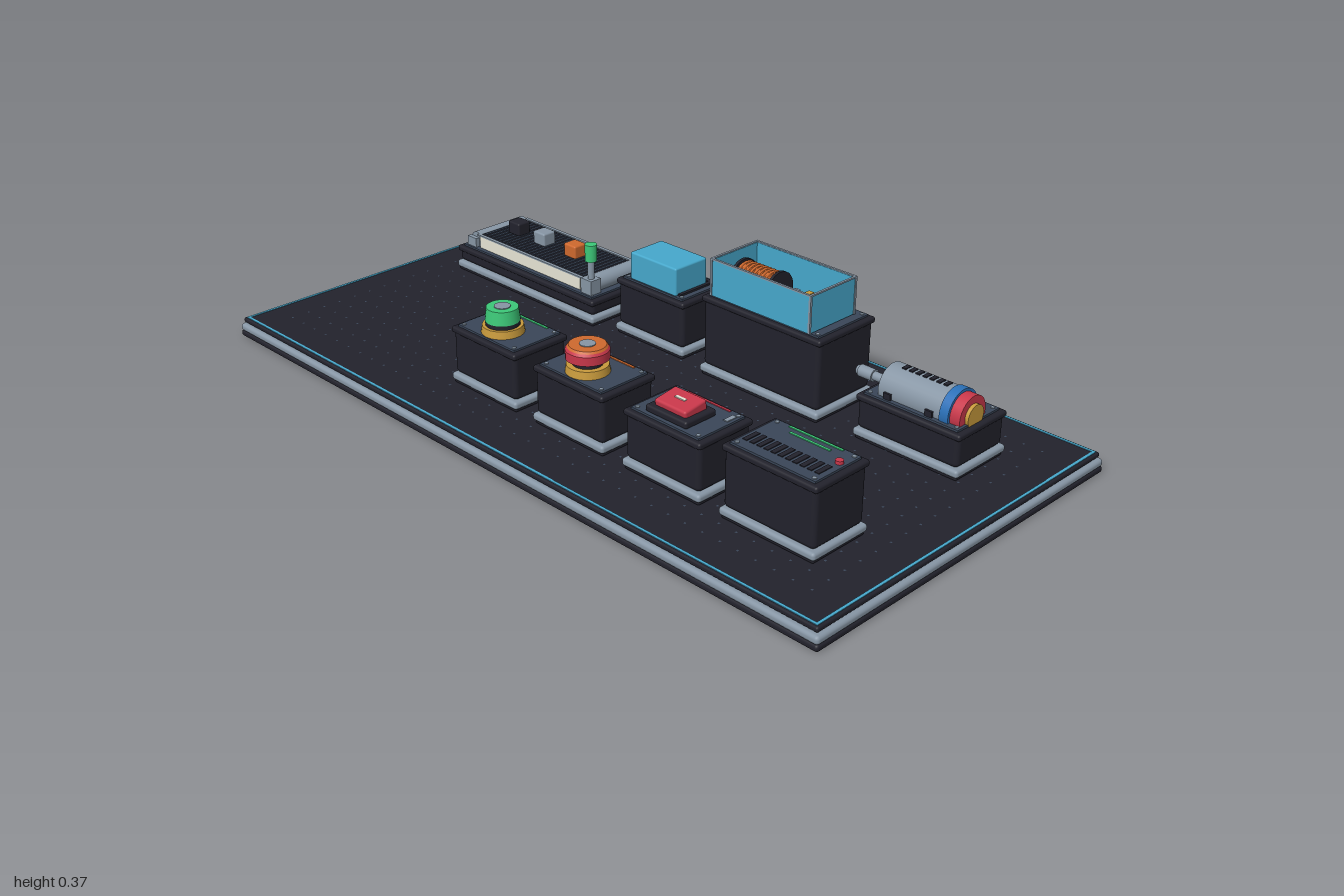
import * as THREE from 'three';
import { mergeGeometries } from 'three/addons/utils/BufferGeometryUtils.js';
import { RoundedBoxGeometry } from 'three/addons/geometries/RoundedBoxGeometry.js';

const mat = (name, color) => new THREE.MeshStandardMaterial({ name, color });
const charcoal = mat('charcoal', 0x22222c), slate = mat('slate', 0x3a4658), steel = mat('steel', 0x8796a5);
const cyan = mat('cyan', 0x46a8cc), blue = mat('blue', 0x2a70b8), red = mat('red', 0xc8374a);
const green = mat('green', 0x3cc878), orange = mat('orange', 0xcf692e), yellow = mat('yellow', 0xc89a3c);
const cream = mat('cream', 0xeeecdc);

const add = (parent, name, geo, material, x = 0, y = 0, z = 0) => {
  const m = new THREE.Mesh(geo, material);
  m.name = name;
  m.position.set(x, y, z);
  parent.add(m);
  return m;
};
// Boxes are placed by the height of their underside
const box = (p, name, material, x, y, z, w, h, d) =>
  add(p, name, new THREE.BoxGeometry(w, h, d), material, x, y + h / 2, z);
const soft = (p, name, material, x, y, z, w, h, d, r) =>
  add(p, name, new RoundedBoxGeometry(w, h, d, 2, r), material, x, y + h / 2, z);
const disc = (p, name, material, x, y, z, r, h, rTop = r) =>
  add(p, name, new THREE.CylinderGeometry(rTop, r, h, 28), material, x, y + h / 2, z);
const rod = (p, name, material, x, y, z, r, length, axis = 'x') => {
  const g = new THREE.CylinderGeometry(r, r, length, 28);
  axis === 'x' ? g.rotateZ(-Math.PI / 2) : g.rotateX(Math.PI / 2);
  return add(p, name, g, material, x, y, z);
};
// Four thin bars around a rectangle
const frame = (p, name, material, y, w, h, d, t) => {
  for (const s of [-1, 1]) {
    box(p, name, material, 0, y, s * (d - t) / 2, w, h, t);
    box(p, name, material, s * (w - t) / 2, y, 0, t, h, d - 2 * t);
  }
};

const FLOOR = 0.052;

// Housing shared by all devices: foot, body, top plate, screws and rear terminals
function housing(root, name, x, z, w, d, top, accent) {
  const g = new THREE.Group();
  g.name = name;
  g.position.set(x, 0, z);
  root.add(g);
  soft(g, 'gasket', charcoal, 0, FLOOR, 0, w - 0.01, 0.012, d - 0.01, 0.005);
  soft(g, 'foot', steel, 0, 0.06, 0, w, 0.02, d, 0.008);
  soft(g, 'body', charcoal, 0, 0.08, 0, w - 0.014, top - 0.084, d - 0.014, 0.012);
  soft(g, 'lip', charcoal, 0, top - 0.02, 0, w - 0.006, 0.016, d - 0.006, 0.006);
  box(g, 'topPlate', slate, 0, top - 0.005, 0, w - 0.035, 0.006, d - 0.03);
  for (const sx of [-1, 1]) for (const sz of [-1, 1])
    disc(g, 'screw', steel, sx * (w / 2 - 0.028), top, sz * (d / 2 - 0.025), 0.005, 0.003);
  if (accent) box(g, 'accentBar', accent, 0, top, -d / 2 + 0.022, w * 0.55, 0.003, 0.006);
  const back = -d / 2 + 0.007;
  box(g, 'rearPlate', charcoal, 0, top - 0.05, back, w * 0.7, 0.026, 0.012);
  const lamps = [cyan, green, steel];
  for (let i = 0; i < 7; i++)
    box(g, 'rearIndicator', lamps[i % 3], (i - 3) * w * 0.085, top - 0.041, back - 0.006, w * 0.05, 0.006, 0.003);
  const colours = [red, blue, green, orange];
  for (let i = 0; i < 4; i++)
    rod(g, 'terminal', colours[i], (i - 1.5) * w * 0.22, 0.1, back - 0.003, 0.01, 0.018, 'z');
  return g;
}

// Stepped board with a trim line and a grid of pegboard holes
function board(root) {
  const g = new THREE.Group();
  g.name = 'baseBoard';
  root.add(g);
  soft(g, 'underside', charcoal, 0, 0, 0, 2, 0.017, 1, 0.007);
  soft(g, 'steelEdge', steel, 0, 0.015, 0, 2, 0.021, 1, 0.009);
  box(g, 'shadowGap', charcoal, 0, 0.034, 0, 1.97, 0.008, 0.97);
  soft(g, 'deck', charcoal, 0, 0.039, 0, 1.985, 0.013, 0.985, 0.005);
  frame(g, 'trim', cyan, 0.0495, 1.972, 0.004, 0.972, 0.007);
  const holes = [];
  for (let x = -0.9; x < 0.91; x += 0.05) for (let z = -0.4; z < 0.41; z += 0.05)
    holes.push(new THREE.PlaneGeometry(0.005, 0.005).rotateX(-Math.PI / 2).translate(x, 0.0525, z));
  add(g, 'gridHoles', mergeGeometries(holes), slate);
}

function conveyor(root) {
  const g = housing(root, 'conveyor', -0.577, -0.24, 0.56, 0.235, 0.128, null);
  box(g, 'bed', charcoal, 0, 0.128, 0, 0.42, 0.032, 0.165);
  for (const s of [-1, 1]) {
    box(g, 'sideRail', cream, 0, 0.13, s * 0.087, 0.41, 0.034, 0.008);
    box(g, 'railCap', steel, 0, 0.163, s * 0.087, 0.43, 0.004, 0.01);
    rod(g, 'roller', steel, s * 0.225, 0.146, 0, 0.024, 0.17, 'z');
    for (const t of [-1, 1]) box(g, 'rollerBracket', steel, s * 0.234, 0.125, t * 0.09, 0.036, 0.03, 0.014);
  }
  box(g, 'belt', charcoal, 0, 0.16, 0, 0.43, 0.005, 0.16);
  for (let i = 0; i < 27; i++) box(g, 'beltSlat', slate, (i - 13) * 0.0155, 0.164, 0, 0.007, 0.003, 0.155);
  [[-0.143, charcoal], [-0.038, steel], [0.087, orange]].forEach(([x, m]) =>
    soft(g, 'cargo', m, x, 0.166, 0, 0.046, 0.037, 0.042, 0.005));
  // Signal post at the front corner
  box(g, 'postFoot', steel, 0.235, 0.13, 0.08, 0.04, 0.04, 0.035);
  disc(g, 'post', steel, 0.237, 0.17, 0.08, 0.009, 0.05);
  disc(g, 'signalLamp', green, 0.237, 0.22, 0.08, 0.016, 0.046);
}

function sensor(root) {
  const g = housing(root, 'sensor', -0.118, -0.237, 0.245, 0.175, 0.21, cyan);
  frame(g, 'sensorSeat', charcoal, 0.21, 0.18, 0.006, 0.125, 0.012);
  soft(g, 'sensorCover', cyan, 0, 0.21, 0.015, 0.162, 0.075, 0.112, 0.005);
}

function relay(root) {
  const g = housing(root, 'relay', 0.27, -0.235, 0.38, 0.21, 0.268, cyan);
  // Open-topped clear cover
  const cover = new THREE.Group();
  cover.name = 'cover';
  cover.position.set(0, 0, 0.022);
  g.add(cover);
  frame(cover, 'coverWall', cyan, 0.274, 0.31, 0.094, 0.162, 0.005);
  frame(cover, 'coverRim', steel, 0.367, 0.314, 0.004, 0.166, 0.006);
  for (const sx of [-1, 1]) for (const sz of [-1, 1])
    box(cover, 'cornerPost', steel, sx * 0.154, 0.274, sz * 0.08, 0.006, 0.094, 0.006);
  // Wound coil between two flanges
  rod(g, 'coil', orange, -0.065, 0.31, 0.025, 0.04, 0.105);
  for (let i = 0; i < 9; i++)
    add(g, 'winding', new THREE.TorusGeometry(0.04, 0.004, 6, 24).rotateY(Math.PI / 2), orange, -0.113 + i * 0.012, 0.31, 0.025);
  for (const x of [-0.122, -0.008]) rod(g, 'coilFlange', charcoal, x, 0.31, 0.025, 0.047, 0.008);
  // Contact arms
  for (const s of [-1, 1]) {
    box(g, 'contactArm', yellow, 0.08, 0.31 + s * 0.008, 0.018 + s * 0.012, 0.1, 0.005, 0.008);
    box(g, 'contactPost', steel, 0.055 + s * 0.025, 0.272, 0.018 + s * 0.012, 0.014, 0.045, 0.014);
    box(g, 'contactPad', yellow, 0.09 + s * 0.02, 0.272, 0.018 + s * 0.012, 0.016, 0.05, 0.018);
  }
}

function motor(root) {
  const g = housing(root, 'motor', 0.702, -0.235, 0.295, 0.185, 0.17, blue);
  const y = 0.183, z = 0.015;
  rod(g, 'shaft', steel, -0.148, y, z, 0.011, 0.1);
  rod(g, 'shaftTip', steel, -0.17, y, z, 0.015, 0.04);
  rod(g, 'frontBoss', yellow, -0.106, y, z, 0.024, 0.02);
  rod(g, 'motorCan', steel, -0.012, y, z, 0.052, 0.175);
  rod(g, 'blueBand', blue, 0.084, y, z, 0.055, 0.024);
  rod(g, 'redBand', red, 0.108, y, z, 0.048, 0.03);
  rod(g, 'endCap', yellow, 0.126, y, z, 0.029, 0.012);
  for (let i = 0; i < 7; i++) box(g, 'vent', charcoal, -0.062 + i * 0.019, y + 0.049, z, 0.011, 0.005, 0.02);
  for (const x of [-0.07, 0.045]) box(g, 'cradle', charcoal, x, 0.168, z, 0.02, 0.018, 0.115);
}

function pushButton(root) {
  const g = housing(root, 'pushButton', -0.19, 0.248, 0.24, 0.175, 0.207, green);
  disc(g, 'collar', yellow, 0, 0.207, 0.018, 0.053, 0.02, 0.05);
  disc(g, 'neck', charcoal, 0, 0.225, 0.018, 0.042, 0.016);
  disc(g, 'cap', green, 0, 0.238, 0.018, 0.043, 0.034, 0.039);
  disc(g, 'capCentre', steel, 0, 0.271, 0.018, 0.02, 0.003);
}

function stopButton(root) {
  const g = housing(root, 'stopButton', 0.108, 0.248, 0.24, 0.175, 0.207, orange);
  disc(g, 'collar', yellow, 0, 0.207, 0.018, 0.053, 0.02, 0.05);
  disc(g, 'neck', charcoal, 0, 0.225, 0.018, 0.036, 0.02);
  disc(g, 'mushroomCap', red, 0, 0.242, 0.018, 0.052, 0.022);
  disc(g, 'capShoulder', red, 0, 0.264, 0.018, 0.052, 0.008, 0.046);
  disc(g, 'capTop', orange, 0, 0.27, 0.018, 0.048, 0.005, 0.044);
  disc(g, 'capCentre', steel, 0, 0.273, 0.018, 0.019, 0.004);
}

function rockerSwitch(root) {
  const g = housing(root, 'rockerSwitch', 0.408, 0.248, 0.24, 0.175, 0.207, red);
  soft(g, 'bezel', charcoal, -0.005, 0.207, 0.017, 0.125, 0.018, 0.095, 0.006);
  const r = soft(g, 'rocker', red, -0.005, 0.216, 0.017, 0.095, 0.028, 0.068, 0.006);
  r.rotation.x = 0.14;
  box(g, 'rockerMark', cream, -0.005, 0.243, 0.017, 0.03, 0.003, 0.008);
  for (const s of [-1, 1]) box(g, 'sideMark', steel, s * 0.088, 0.207, -0.04, 0.012, 0.003, 0.03);
}

function buzzer(root) {
  const g = housing(root, 'buzzer', 0.715, 0.248, 0.265, 0.175, 0.235, green);
  for (let i = 0; i < 11; i++) box(g, 'grilleSlot', charcoal, -0.1 + i * 0.0195, 0.235, 0.024, 0.012, 0.003, 0.042);
  box(g, 'statusBar', green, 0, 0.235, -0.046, 0.11, 0.003, 0.006);
  disc(g, 'indicator', red, 0.1, 0.235, -0.02, 0.009, 0.009);
}

export function createModel() {
  const root = new THREE.Group();
  root.name = 'controlBoard';
  [board, conveyor, sensor, relay, motor, pushButton, stopButton, rockerSwitch, buzzer].forEach((build) => build(root));
  return root;
}
